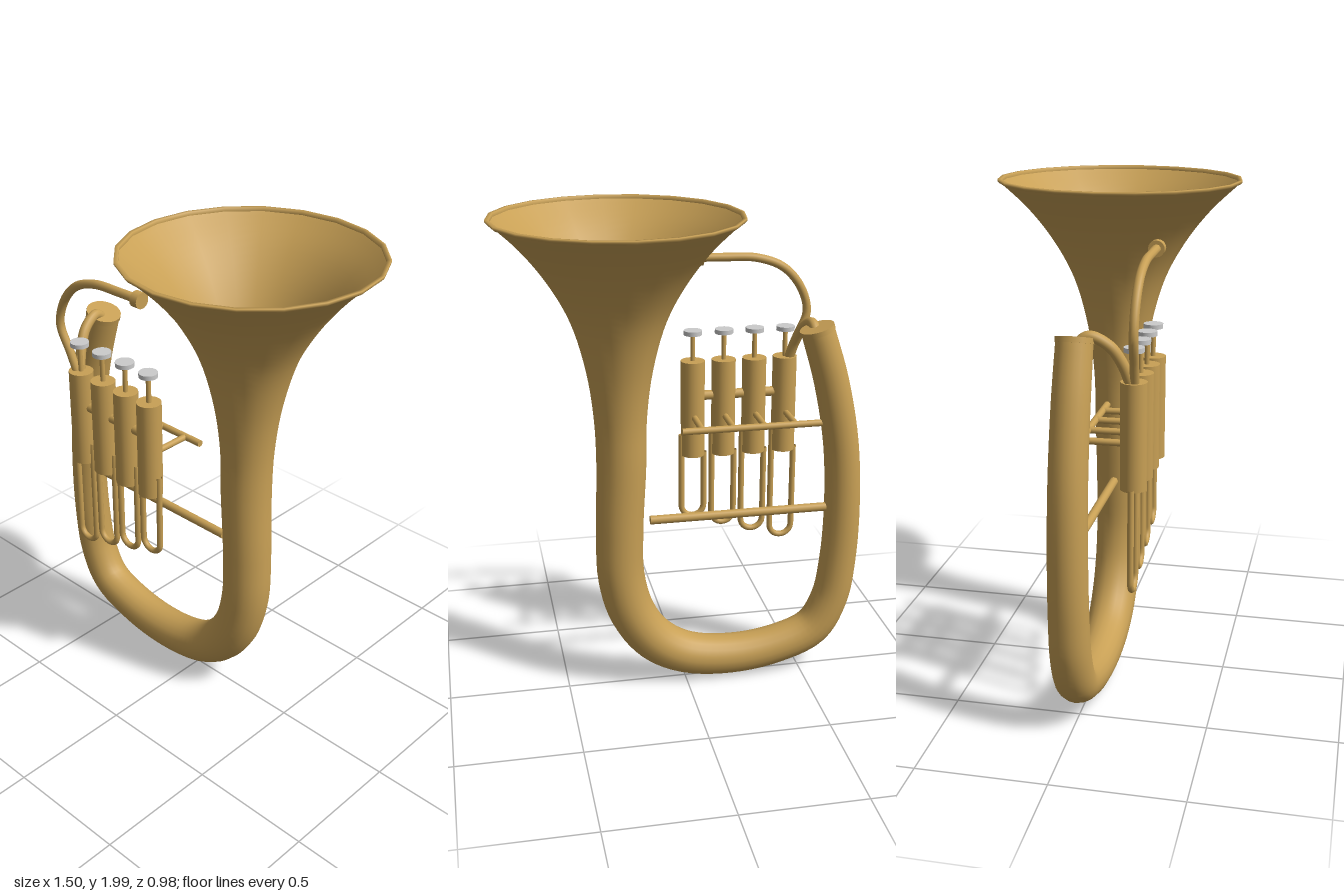
import * as THREE from 'three';

const brass = new THREE.MeshStandardMaterial({ color: 0xc8a055, side: THREE.DoubleSide });
const silver = new THREE.MeshStandardMaterial({ color: 0xcccccc });
const V = (x, y, z) => new THREE.Vector3(x, y, z);

function add(parent, name, geometry, material = brass) {
  const mesh = new THREE.Mesh(geometry, material);
  mesh.name = name;
  parent.add(mesh);
  return mesh;
}

// Round bar from a to b
function rod(parent, name, a, b, r, material = brass, sides = 16) {
  const mesh = add(parent, name, new THREE.CylinderGeometry(r, r, a.distanceTo(b), sides), material);
  mesh.position.copy(a).add(b).multiplyScalar(0.5);
  mesh.quaternion.setFromUnitVectors(V(0, 1, 0), b.clone().sub(a).normalize());
  return mesh;
}

const pipe = (parent, name, pts, r, n = 48) =>
  add(parent, name, new THREE.TubeGeometry(new THREE.CatmullRomCurve3(pts), n, r, 12));

// Tapering tube in the xy plane through stations [x, y, radius]
function taperedTube(stations, rings, sides) {
  const curve = new THREE.CatmullRomCurve3(stations.map(s => V(...s)));
  const pos = [], index = [];
  for (let i = 0; i <= rings; i++) {
    const p = curve.getPoint(i / rings);
    const t = curve.getTangent(i / rings).setZ(0).normalize();
    for (let j = 0; j < sides; j++) {
      const a = (j / sides) * Math.PI * 2, c = Math.cos(a) * p.z;
      pos.push(p.x - t.y * c, p.y + t.x * c, Math.sin(a) * p.z);
      if (i === rings) continue;
      const k = i * sides + j, m = i * sides + (j + 1) % sides;
      index.push(k, m, k + sides, m, m + sides, k + sides);
    }
  }
  const g = new THREE.BufferGeometry();
  g.setAttribute('position', new THREE.Float32BufferAttribute(pos, 3));
  g.setIndex(index);
  g.computeVertexNormals();
  return g;
}

export function createModel() {
  const model = new THREE.Group();
  model.name = 'brassHorn';

  // Bell, bottom bow and rising branch in one sweep
  add(model, 'bellAndBody', taperedTube([
    [0.26, 1.995, 0.488], [0.26, 1.88, 0.368], [0.26, 1.75, 0.268], [0.26, 1.6, 0.188],
    [0.26, 1.4, 0.132], [0.26, 1.2, 0.106], [0.26, 1.0, 0.101], [0.272, 0.72, 0.098],
    [0.268, 0.5, 0.097], [0.222, 0.33, 0.096], [0.13, 0.2, 0.094], [0, 0.123, 0.09],
    [-0.2, 0.095, 0.086], [-0.4, 0.12, 0.083], [-0.56, 0.188, 0.081], [-0.635, 0.32, 0.079],
    [-0.665, 0.5, 0.077], [-0.674, 0.75, 0.075], [-0.657, 1.03, 0.073], [-0.605, 1.3, 0.071],
    [-0.537, 1.525, 0.068],
  ], 100, 20));

  // Flat lip around the bell mouth
  add(model, 'bellRim', new THREE.LatheGeometry(
    [[0.475, 1.985], [0.484, 1.985], [0.49, 1.992], [0.49, 2], [0.475, 2], [0.475, 1.985]]
      .map(p => new THREE.Vector2(...p)), 20)).position.x = 0.26;

  // Cap closing the branch
  rod(model, 'branchCap', V(-0.541, 1.51, 0), V(-0.535, 1.53, 0), 0.071, brass, 20);

  // Four valves, each with a finger button, brace and slide loop
  for (let i = 0; i < 4; i++) {
    const valve = new THREE.Group();
    valve.name = 'valve' + (i + 1);
    valve.position.set(-0.462 + i * 0.13, 0, 0.2);
    model.add(valve);
    rod(valve, 'casing', V(0, 0.95, 0), V(0, 1.36, 0), 0.05, brass, 20);
    rod(valve, 'stem', V(0, 1.35, 0), V(0, 1.475, 0), 0.01);
    rod(valve, 'button', V(0, 1.47, 0), V(0, 1.488, 0), 0.038, silver, 20);
    rod(valve, 'brace', V(0, 1.125, -0.2), V(0, 1.125, -0.04), 0.013);

    const w = 0.048, low = 0.548 + i * 0.041, path = new THREE.CurvePath();
    const bend = [];
    for (let k = 0; k <= 10; k++) {
      const a = Math.PI * (1 + k / 10);
      bend.push(V(w * Math.cos(a), low + w + w * Math.sin(a), 0));
    }
    path.add(new THREE.LineCurve3(V(-w, 0.96, 0), bend[0]));
    path.add(new THREE.CatmullRomCurve3(bend));
    path.add(new THREE.LineCurve3(bend[10], V(w, 1.04, 0)));
    add(valve, 'slideLoop', new THREE.TubeGeometry(path, 80, 0.0125, 10));
  }

  // Bars joining the valves and the two branches
  rod(model, 'valveLink', V(-0.462, 1.208, 0.2), V(-0.072, 1.208, 0.2), 0.02);
  rod(model, 'upperBar', V(-0.6, 1.125, 0), V(0.01, 1.125, 0), 0.014);
  rod(model, 'lowerBar', V(-0.63, 0.75, 0), V(0.145, 0.75, 0), 0.018);

  // Pipe from the branch cap over to the first valve
  pipe(model, 'branchPipe', [V(-0.535, 1.5, 0), V(-0.53, 1.535, 0.05), V(-0.515, 1.5, 0.12),
    V(-0.495, 1.43, 0.165), V(-0.475, 1.34, 0.195)], 0.021);

  // Mouth pipe and mouthpiece
  pipe(model, 'mouthPipe', [V(-0.475, 1.34, 0.205), V(-0.51, 1.43, 0.21), V(-0.555, 1.54, 0.215),
    V(-0.525, 1.645, 0.215), V(-0.45, 1.73, 0.215), V(-0.34, 1.772, 0.215),
    V(-0.2, 1.78, 0.215), V(-0.1, 1.782, 0.215)], 0.0175);
  rod(model, 'mouthpiece', V(-0.115, 1.782, 0.215), V(-0.08, 1.782, 0.215), 0.032);

  return model;
}
